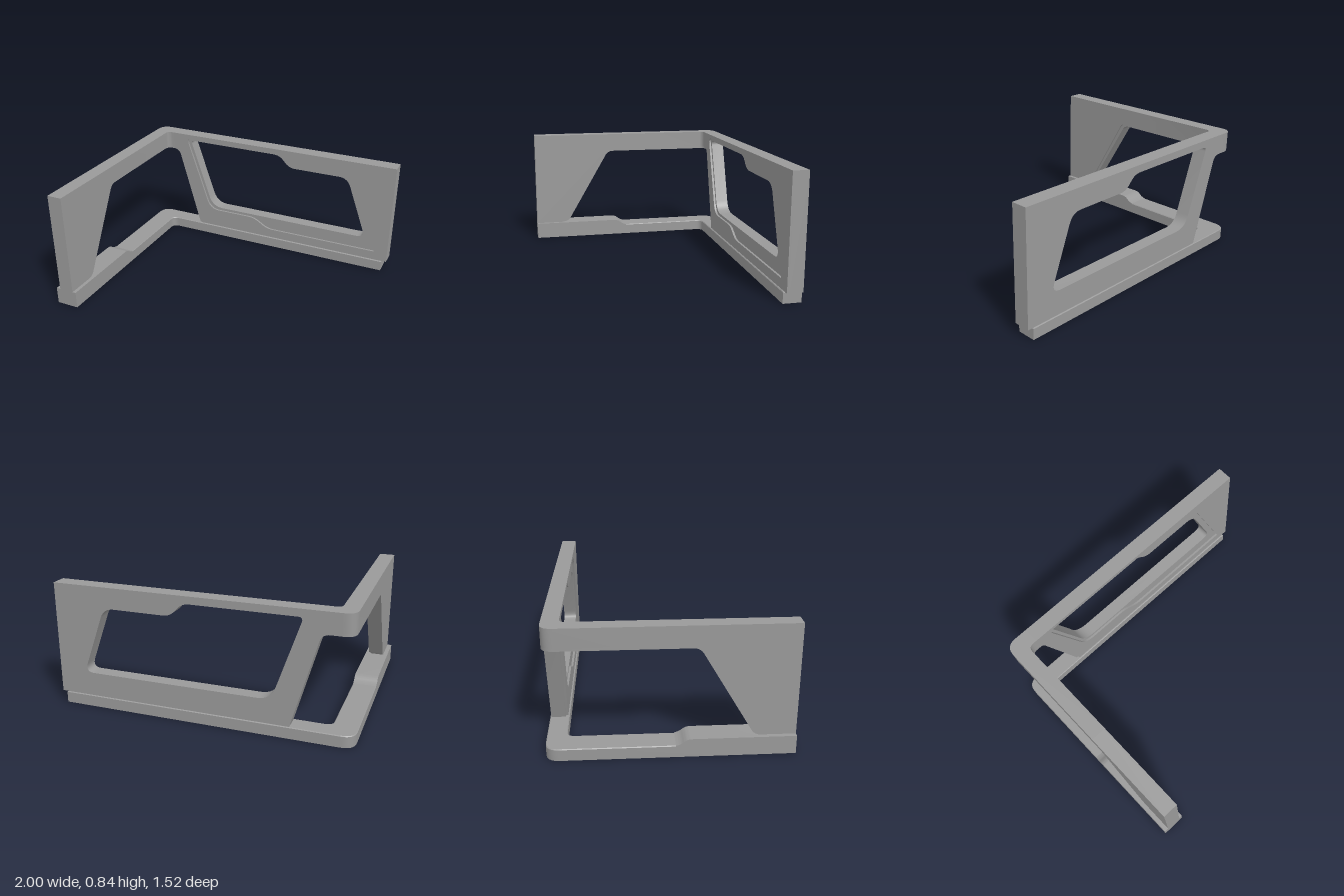
import * as THREE from 'three';
import { toCreasedNormals } from 'three/addons/utils/BufferGeometryUtils.js';

const material = new THREE.MeshStandardMaterial({ color: 0x999999 });

// Closed outline from [x, y, cornerRadius] points, corners rounded
function outline(points, path = new THREE.Shape()) {
  const n = points.length;
  points.forEach(([x, y, r = 0], i) => {
    const toward = ([px, py]) => {
      const d = Math.hypot(px - x, py - y);
      return [x + ((px - x) * r) / d, y + ((py - y) * r) / d];
    };
    const a = toward(points[(i + n - 1) % n]);
    const b = toward(points[(i + 1) % n]);
    if (i === 0) path.moveTo(...a); else path.lineTo(...a);
    if (r > 0) path.quadraticCurveTo(x, y, ...b);
  });
  path.closePath();
  return path;
}

// Outline with an opening; the opening runs the other way round so its walls face inward
function withHole(points, holePoints) {
  const shape = outline(points);
  shape.holes.push(outline([...holePoints].reverse(), new THREE.Path()));
  return shape;
}

function extrude(shape, depth, bevel = 0) {
  return new THREE.ExtrudeGeometry(shape, {
    depth: depth - 2 * bevel, curveSegments: 8, bevelEnabled: bevel > 0,
    bevelThickness: bevel, bevelSize: bevel, bevelOffset: -bevel, bevelSegments: 1,
  }).translate(0, 0, bevel);
}

// L-shaped plan: outer corner (x0, z0), inner corner (x1, z1), arm ends
const plan = (x0, z0, x1, z1, xEnd, zEnd, rOut, rIn) => [
  [x0, -z0, rOut], [xEnd, -z0], [xEnd, -z1], [x1, -z1, rIn], [x1, -zEnd], [x0, -zEnd],
];

export function createModel() {
  const model = new THREE.Group();

  function add(name, geometry) {
    const mesh = new THREE.Mesh(toCreasedNormals(geometry, 0.5), material);
    mesh.name = name;
    model.add(mesh);
  }
  // Plans rise from y0 to y1; side profiles (z, y) span x0..x1; back profiles (x, y) span z0..z1
  const addPlan = (name, shape, y0, y1, bevel) =>
    add(name, extrude(shape, y1 - y0, bevel).rotateX(-Math.PI / 2).translate(0, y0, 0));
  const addSide = (name, shape, x0, x1) =>
    add(name, extrude(shape, x1 - x0).rotateY(-Math.PI / 2).translate(x1, 0, 0));
  const addBack = (name, shape, z0, z1) =>
    add(name, extrude(shape, z1 - z0).translate(0, 0, z0));

  // Hollow base rail: skirt around the edge, open underneath
  addPlan('baseSkirt', withHole(
    plan(-1, -0.765, -0.84, -0.64, 0.965, 0.755, 0.09, 0.05),
    plan(-0.985, -0.75, -0.855, -0.655, 0.95, 0.74, 0.08, 0.06),
  ), 0, 0.073);
  addPlan('baseTop', outline(
    plan(-1, -0.765, -0.84, -0.64, 0.965, 0.03, 0.09, 0.05),
  ), 0.055, 0.078, 0.005);

  // Raised front end of the side rail, with its ramp
  const ramp = [[0.02, 0.078], [0.05, 0.086, 0.02], [0.09, 0.12, 0.03], [0.755, 0.12]];
  addSide('raisedRailTop', outline([
    [0.02, 0.06], ...ramp, [0.755, 0.105], [0.1, 0.105], [0.05, 0.06],
  ]), -1, -0.84);
  for (const x of [-1, -0.855]) {
    addSide('raisedRailCheek', outline([[0.02, 0.03], ...ramp, [0.755, 0.03]]), x, x + 0.015);
  }
  add('raisedRailEnd', new THREE.BoxGeometry(0.16, 0.09, 0.015).translate(-0.92, 0.075, 0.7475));

  // Header running round the corner, with a lip stepped back on the inner side
  const step = 0.018;
  addPlan('cornerHeader', outline(
    plan(-0.97, -0.758, -0.865, -0.65, -0.8, 0.1, 0.08, 0.04),
  ), 0.7 + step, 0.84);
  addPlan('cornerHeaderLip', outline(
    plan(-0.97, -0.758, -0.88, -0.665, -0.8, 0.1, 0.08, 0.05),
  ), 0.7, 0.7 + step);

  // Side panel: main sheet, and a thin inner sheet stepped back along the slope
  const sidePanel = (s) => outline([
    [0.1, 0.84], [0.755, 0.84], [0.755, 0.12], [0.5 + s, 0.12, 0.04],
    [0.16 + s, 0.7 + s, 0.04], [0.1, 0.7 + s],
  ]);
  addSide('sidePanel', sidePanel(0), -0.97, -0.88);
  addSide('sidePanelFacing', sidePanel(step), -0.88, -0.865);

  // Back wall: main sheet with the window, facing sheet with a wider recess
  const backWall = (s) => [
    [-0.8, 0.84], [1, 0.84], [1, 0.078], [-0.595 + s, 0.078],
    [-0.775 + s, 0.7 + s, 0.05], [-0.8, 0.7 + s],
  ];
  addBack('backWall', withHole(backWall(0), [
    [-0.665, 0.79, 0.035], [0.1, 0.79, 0.05], [0.18, 0.7, 0.05], [0.645, 0.7, 0.07],
    [0.815, 0.24, 0.07], [-0.475, 0.24, 0.09],
  ]), -0.758, -0.665);
  addBack('backWallFacing', withHole(backWall(step), [
    [-0.695, 0.81, 0.05], [0.645, 0.81, 0.08], [0.9, 0.145], [0.02, 0.145, 0.05],
    [-0.1, 0.22, 0.05], [-0.49, 0.22, 0.08],
  ]), -0.665, -0.65);

  return model;
}
